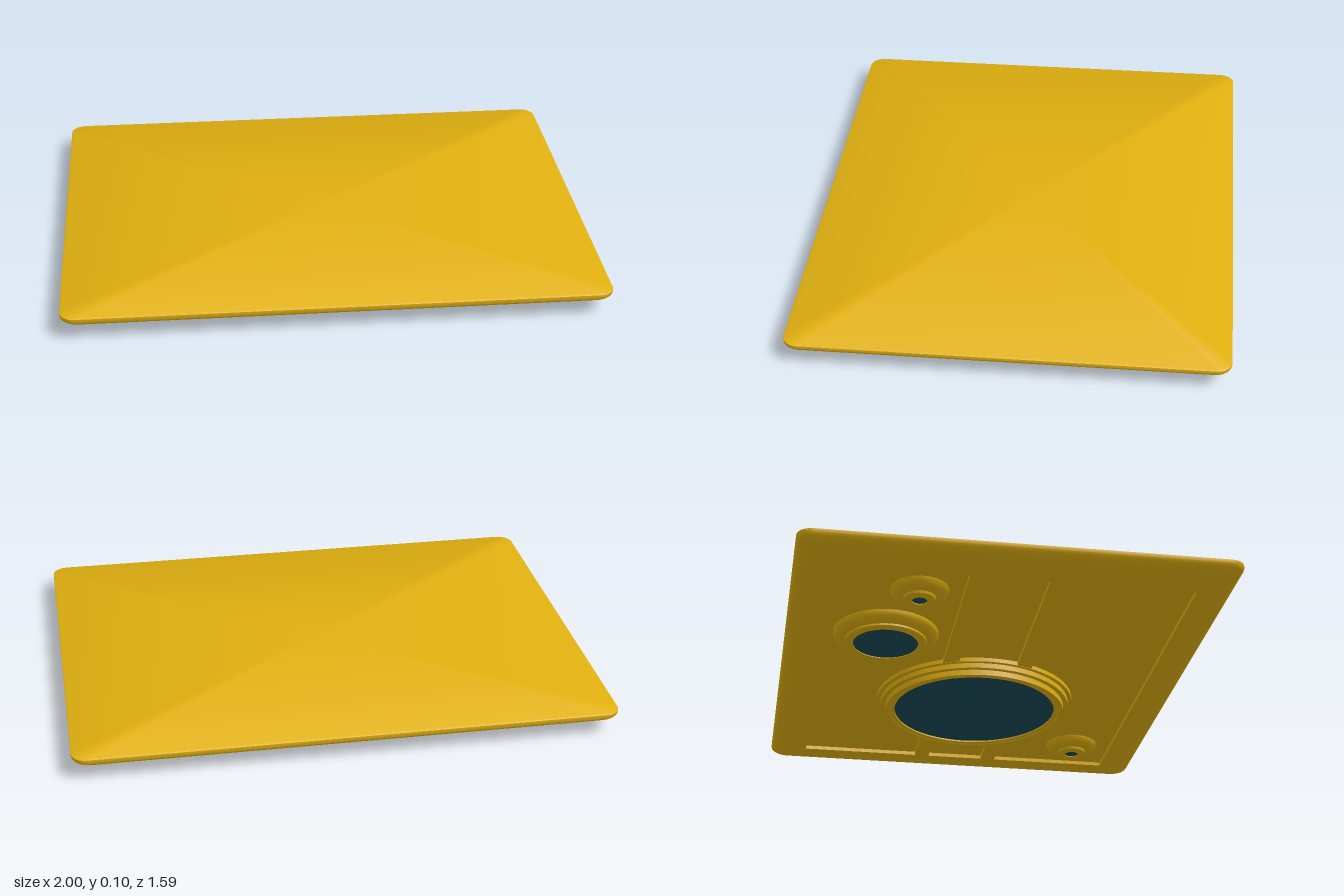
import * as THREE from 'three';
import { toCreasedNormals } from 'three/addons/utils/BufferGeometryUtils.js';

const yellow = new THREE.MeshStandardMaterial({ color: 0xe0b010 });
const glass = new THREE.MeshStandardMaterial({ color: 0x1a4a58 });

// Outline of a rounded rectangle, counted the same for every size
function ring(halfX, halfZ, radius, y, steps = 6) {
  const points = [];
  [[1, 1], [-1, 1], [-1, -1], [1, -1]].forEach(([sx, sz], corner) => {
    for (let i = 0; i <= steps; i++) {
      const a = (corner + i / steps) * Math.PI / 2;
      points.push([
        sx * (halfX - radius) + radius * Math.cos(a), y,
        sz * (halfZ - radius) + radius * Math.sin(a),
      ]);
    }
  });
  return points;
}

// Skin stacked outlines, ordered from the top centre round to the bottom centre
function loft(rings) {
  const pos = [];
  for (let i = 0; i < rings.length - 1; i++) {
    const n = rings[i].length;
    for (let j = 0; j < n; j++) {
      const k = (j + 1) % n;
      const a = rings[i][j], b = rings[i][k], c = rings[i + 1][j], d = rings[i + 1][k];
      pos.push(...a, ...b, ...c, ...b, ...d, ...c);
    }
  }
  const g = new THREE.BufferGeometry();
  g.setAttribute('position', new THREE.Float32BufferAttribute(pos, 3));
  return toCreasedNormals(g, 0.6);
}

function add(parent, name, geometry, material = yellow) {
  const mesh = new THREE.Mesh(geometry, material);
  mesh.name = name;
  parent.add(mesh);
  return mesh;
}

// Turned housing with a dark glass disc facing down; profile runs from inside out
function lens(parent, name, x, z, profile, discY) {
  const group = new THREE.Group();
  group.name = name;
  group.position.set(x, 0, z);
  const points = profile.map(([r, y]) => new THREE.Vector2(r, y));
  const turned = new THREE.LatheGeometry(points, 64).toNonIndexed();
  add(group, name + 'Housing', toCreasedNormals(turned, 0.6));
  const disc = new THREE.CircleGeometry(profile[0][0], 64);
  disc.rotateX(Math.PI / 2);
  disc.translate(0, discY, 0);
  add(group, name + 'Glass', disc, glass);
  parent.add(group);
}

export function createModel() {
  const model = new THREE.Group();
  model.name = 'panel';
  const rim = 0.043, floor = 0.058;

  // Plate: flat top, belly curving under to a narrow rim, shallow recess below
  const rings = [ring(0, 0, 0, 0.1), ring(0.994, 0.79, 0.05, 0.1), ring(1, 0.796, 0.055, 0.096)];
  for (let i = 0; i <= 10; i++) {
    const a = i / 10 * Math.PI / 2;
    const inset = 0.15 * (1 - Math.cos(a));
    rings.push(ring(1 - inset, 0.796 - inset * 0.9, 0.055 * Math.cos(a) + 0.001,
      0.088 - (0.088 - rim) * Math.sin(a)));
  }
  rings.push(ring(0.835, 0.65, 0.001, rim), ring(0.835, 0.65, 0.001, floor), ring(0, 0, 0, floor));
  add(model, 'plate', loft(rings));

  // Two ribs crossing the recess
  for (const side of [-1, 1]) {
    const rib = add(model, 'rib', new THREE.BoxGeometry(1.68, 0.03, 0.06));
    rib.position.set(0, rim + 0.015, side * 0.145);
  }

  // Large stepped lens
  lens(model, 'largeLens', 0.245, 0, [
    [0.325, 0.014], [0.325, 0.006], [0.34, 0.006], [0.345, 0], [0.363, 0], [0.363, 0.022],
    [0.382, 0.022], [0.382, 0.042], [0.398, 0.042], [0.398, 0.062],
  ], 0.012);

  // Medium domed lens
  lens(model, 'mediumLens', -0.31, -0.42, [
    [0.123, 0.016], [0.123, 0.011], [0.15, 0.011], [0.155, 0.015], [0.155, 0.022],
    [0.17, 0.024], [0.184, 0.03], [0.194, 0.039], [0.199, 0.05], [0.2, 0.062],
  ], 0.014);

  // Two small domed sensors
  for (const [name, x, z] of [['frontSensor', 0.65, 0.485], ['rearSensor', -0.68, -0.335]]) {
    lens(model, name, x, z, [
      [0.027, 0.016], [0.027, 0.011], [0.05, 0.011], [0.057, 0.015], [0.06, 0.024],
      [0.078, 0.027], [0.093, 0.035], [0.103, 0.045], [0.108, 0.062],
    ], 0.014);
  }
  return model;
}
